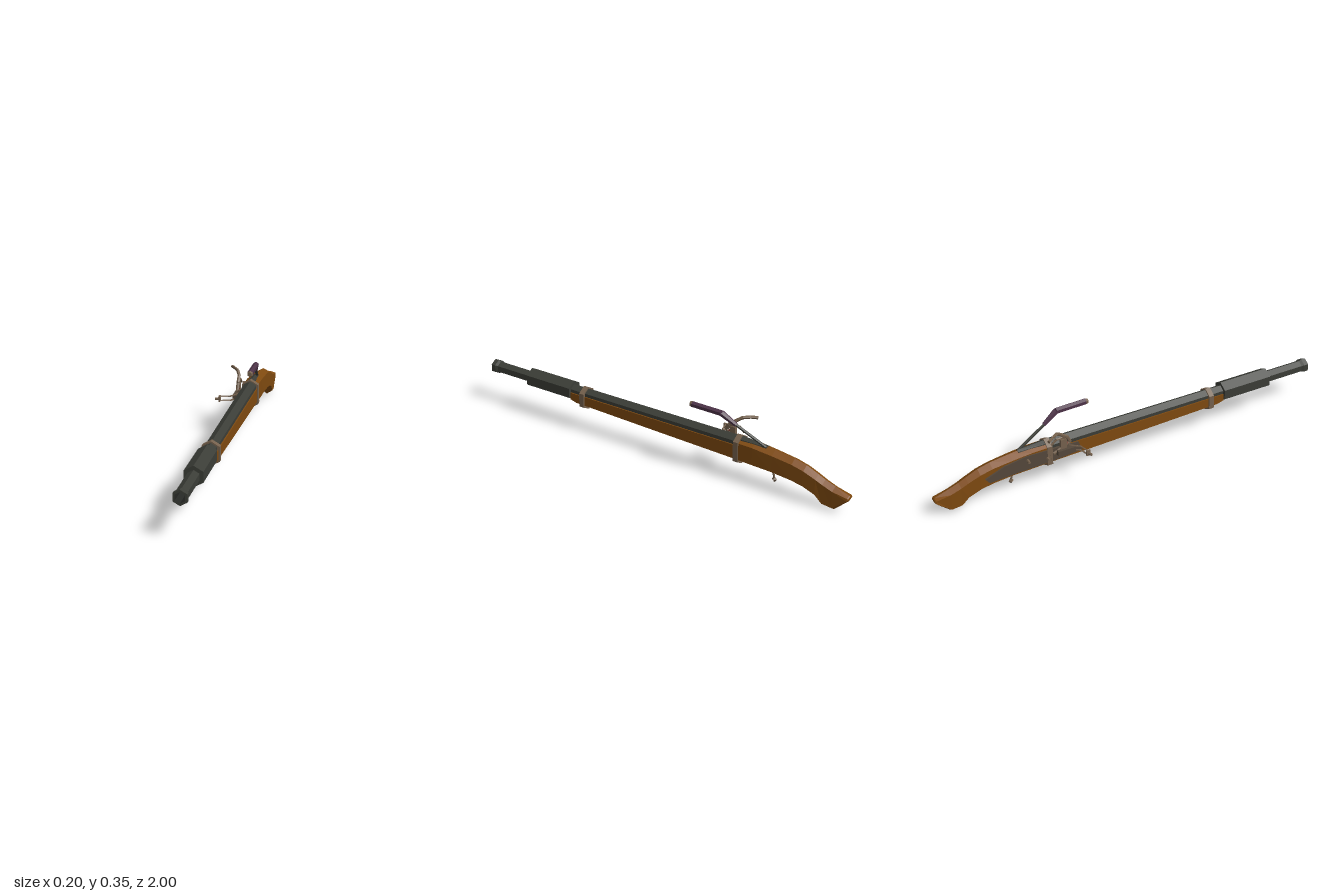
import * as THREE from 'three';

const CX = 0.045, BY = 0.186; // barrel axis

function mat(name, color) {
  const m = new THREE.MeshStandardMaterial({ color, flatShading: true });
  m.name = name;
  return m;
}

// Loft through six-sided sections: [z, bottom, top, lowerHalfWidth, upperHalfWidth, bottomPeak, topPeak]
function loft(rows) {
  const pos = [], idx = [];
  for (const [z, b, t, wl, wu, vb, vt] of rows) {
    pos.push(0, b, z, wl, b + vb, z, wu, t - vt, z, 0, t, z, -wu, t - vt, z, -wl, b + vb, z);
  }
  for (let i = 0; i < rows.length - 1; i++) {
    for (let j = 0; j < 6; j++) {
      const a = i * 6 + j, b = i * 6 + (j + 1) % 6;
      idx.push(a, a + 6, b, b, a + 6, b + 6);
    }
  }
  const e = (rows.length - 1) * 6;
  for (let j = 1; j < 5; j++) idx.push(0, j, j + 1, e, e + j + 1, e + j);
  const g = new THREE.BufferGeometry();
  g.setAttribute('position', new THREE.Float32BufferAttribute(pos, 3));
  g.setIndex(idx);
  const flat = g.toNonIndexed();
  flat.computeVertexNormals();
  return flat;
}

export function createModel() {
  const root = new THREE.Group();
  root.name = 'longGun';
  const wood = mat('wood', 0x7f4a10);
  const steel = mat('dark steel', 0x3b3d37);
  const brass = mat('worn metal', 0x75614d);
  const lock = mat('lock metal', 0x55483b);
  const grip = mat('purple grip', 0x4d3348);
  const bore = mat('bore', 0x252724);
  const red = mat('red', 0x8a2a20);

  function add(name, geo, m, x = 0, y = 0, z = 0, parent = root) {
    const mesh = new THREE.Mesh(geo, m);
    mesh.name = name;
    mesh.position.set(x, y, z);
    parent.add(mesh);
    return mesh;
  }
  // Six-sided turned part along z; points are [radius, z]
  function turned(name, pts, m) {
    const g = new THREE.LatheGeometry(pts.map(p => new THREE.Vector2(p[0], p[1])), 6);
    g.rotateX(Math.PI / 2);
    return add(name, g, m, CX, BY, 0);
  }
  // Jointed rod through points, with one radius per point
  function rod(name, pts, radii, m, sides = 6) {
    const group = new THREE.Group();
    group.name = name;
    root.add(group);
    for (let i = 0; i < pts.length - 1; i++) {
      const a = new THREE.Vector3(...pts[i]), b = new THREE.Vector3(...pts[i + 1]);
      const d = b.clone().sub(a);
      const seg = add(name + 'Segment', new THREE.CylinderGeometry(radii[i + 1], radii[i], d.length(), sides), m, 0, 0, 0, group);
      seg.position.copy(a).addScaledVector(d, 0.5);
      seg.quaternion.setFromUnitVectors(new THREE.Vector3(0, 1, 0), d.normalize());
    }
  }

  // Barrel, thick sleeve and flared muzzle
  turned('barrel', [[0, -0.44], [0.036, -0.44], [0.032, 0.52], [0, 0.52]], steel);
  turned('barrelSleeve', [[0, 0.505], [0.049, 0.505], [0.049, 0.765], [0.03, 0.765]], steel);
  turned('muzzle', [[0.03, 0.76], [0.03, 0.965], [0.036, 0.978], [0.036, 1], [0.025, 1]], steel);
  turned('bore', [[0.025, 1], [0.023, 0.9], [0, 0.9]], bore);

  // Stock: fore-end, wrist and drooping butt
  add('foreStock', loft([
    [0.505, 0.133, 0.186, 0.031, 0.033, 0.016, 0],
    [0.47, 0.124, 0.186, 0.034, 0.034, 0.018, 0],
    [0, 0.11, 0.186, 0.035, 0.035, 0.018, 0],
    [-0.44, 0.096, 0.186, 0.036, 0.036, 0.02, 0],
  ]), wood, CX);
  add('buttStock', loft([
    [-0.43, 0.096, 0.218, 0.036, 0.036, 0.02, 0.018],
    [-0.52, 0.092, 0.216, 0.036, 0.036, 0.02, 0.018],
    [-0.62, 0.088, 0.206, 0.035, 0.034, 0.02, 0.018],
    [-0.72, 0.078, 0.193, 0.034, 0.032, 0.02, 0.018],
    [-0.78, 0.066, 0.178, 0.033, 0.031, 0.02, 0.018],
    [-0.84, 0.044, 0.152, 0.031, 0.029, 0.018, 0.016],
    [-0.875, 0.008, 0.136, 0.027, 0.028, 0.018, 0.016],
    [-0.925, 0.002, 0.118, 0.026, 0.027, 0.018, 0.016],
    [-0.995, 0.066, 0.094, 0.024, 0.022, 0.008, 0.006],
    [-1, 0.075, 0.09, 0.02, 0.018, 0.005, 0.005],
  ]), wood, CX);

  // Metal bands around barrel and stock
  for (const [z, b, t] of [[0.432, 0.11, 0.226], [-0.435, 0.083, 0.228]]) {
    add('band', loft([
      [z + 0.013, b, t, 0.041, 0.041, 0.022, 0.024],
      [z - 0.013, b, t, 0.041, 0.041, 0.022, 0.024],
    ]), brass, CX);
  }

  // Tang on top of the wrist
  add('tang', loft([
    [-0.44, 0.2, 0.222, 0.02, 0.02, 0.004, 0.009],
    [-0.58, 0.2, 0.214, 0.012, 0.012, 0.004, 0.006],
  ]), steel, CX);

  // Cranked lever with a gripped end
  rod('leverRod', [[0.05, 0.205, -0.575], [0.073, 0.288, -0.425]], [0.007, 0.007], steel);
  rod('leverGrip', [[0.073, 0.285, -0.43], [0.086, 0.33, -0.36], [0.088, 0.332, -0.205]], [0.01, 0.015, 0.015], grip);
  rod('leverCap', [[0.088, 0.332, -0.207], [0.088, 0.332, -0.195]], [0.0155, 0.012], brass);

  // Trigger with a knob
  rod('trigger', [[CX, 0.1, -0.61], [CX, 0.06, -0.62]], [0.006, 0.005], brass);
  const knob = add('triggerKnob', new THREE.OctahedronGeometry(0.013, 0), brass, CX, 0.055, -0.62);
  knob.scale.y = 1.15;

  // Lock plate on the right side, tapering to the rear
  const plate = new THREE.Shape();
  [[0.27, 0.135], [0.29, 0.185], [0.55, 0.192], [0.66, 0.175], [0.76, 0.135], [0.74, 0.11], [0.6, 0.118], [0.42, 0.122]]
    .forEach(([z, y], i) => (i ? plate.lineTo(z, y) : plate.moveTo(z, y)));
  const plateGeo = new THREE.ExtrudeGeometry(plate, { depth: 0.01, bevelEnabled: false });
  plateGeo.rotateY(Math.PI / 2); // shape x runs towards the rear
  add('lockPlate', plateGeo, lock, 0.004);

  // Pan, its upright fence and lock screws
  add('pan', new THREE.BoxGeometry(0.03, 0.026, 0.09), lock, -0.006, 0.168, -0.36);
  add('panFence', new THREE.BoxGeometry(0.016, 0.05, 0.03), brass, 0, 0.205, -0.37);
  add('matchEmber', new THREE.BoxGeometry(0.012, 0.008, 0.006), red, 0, 0.205, -0.353);
  for (const [y, z] of [[0.148, -0.45], [0.17, -0.55]]) {
    rod('lockScrew', [[0.01, y, z], [-0.018, y, z]], [0.008, 0.007], brass);
  }

  // Curved serpentine arm
  rod('serpentine', [
    [0, 0.165, -0.42], [0, 0.205, -0.335], [0, 0.235, -0.35], [-0.002, 0.262, -0.385],
    [-0.015, 0.279, -0.41], [-0.036, 0.281, -0.44], [-0.054, 0.279, -0.468],
  ], [0.007, 0.008, 0.009, 0.008, 0.008, 0.007, 0.008], brass);
  rod('serpentineHook', [[0, 0.215, -0.43], [0, 0.237, -0.405], [0, 0.238, -0.375], [0, 0.225, -0.35]],
    [0.005, 0.006, 0.006, 0.005], brass);

  // Open side clamp with a pointed tip
  for (const y of [0.16, 0.181]) {
    rod('clampBar', [[0.005, y, -0.34], [-0.03, y, -0.295], [-0.08, y, -0.282]], [0.004, 0.004, 0.004], brass, 4);
  }
  add('clampEnd', new THREE.BoxGeometry(0.008, 0.028, 0.02), brass, -0.078, 0.1705, -0.282);
  rod('clampTip', [[-0.078, 0.17, -0.282], [-0.1, 0.17, -0.275]], [0.007, 0.006], brass);

  return root;
}
